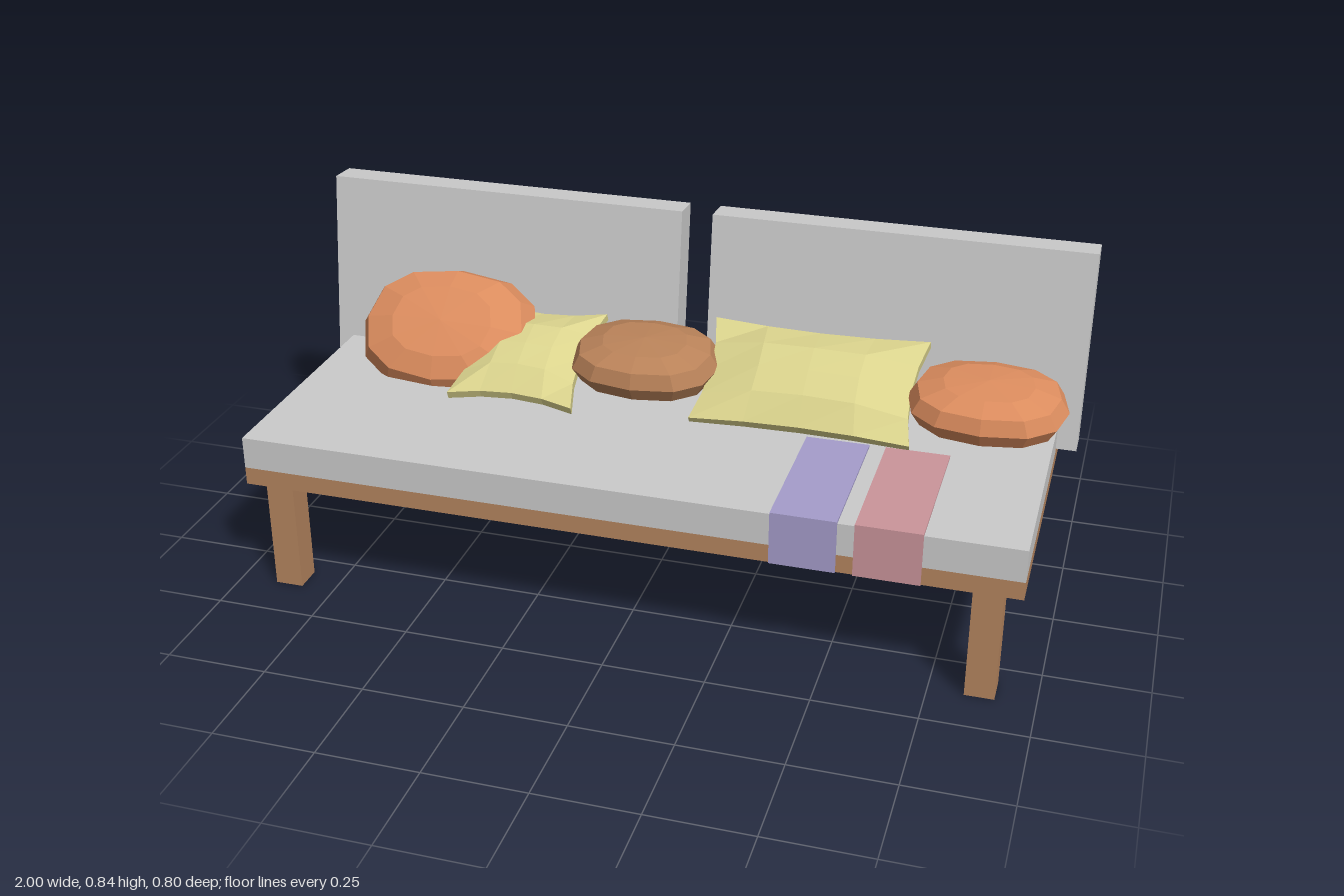
import * as THREE from 'three';

const material = (color) => new THREE.MeshStandardMaterial({ color, flatShading: true });
const grey = material(0xcccccc);
const wood = material(0xb5855f);
const orange = material(0xdb8c5e);
const brown = material(0xb98259);
const yellow = material(0xd9d28c);
const lilac = material(0xa59dcb);
const pink = material(0xcb959b);

export function createModel() {
  const model = new THREE.Group();

  const add = (name, geometry, mat) => {
    const mesh = new THREE.Mesh(geometry, mat);
    mesh.name = name;
    model.add(mesh);
    return mesh;
  };

  // Box given by its minimum and maximum corners
  const box = (name, mat, [x0, y0, z0], [x1, y1, z1]) =>
    add(name, new THREE.BoxGeometry(x1 - x0, y1 - y0, z1 - z0), mat)
      .position.set((x0 + x1) / 2, (y0 + y1) / 2, (z0 + z1) / 2);

  // Side profile of [z, y] points, extruded from x0 to x1
  const sideProfile = (name, mat, points, x0, x1) => {
    const shape = new THREE.Shape(points.map(([z, y]) => new THREE.Vector2(-z, y)));
    const geometry = new THREE.ExtrudeGeometry(shape, { depth: x1 - x0, bevelEnabled: false });
    geometry.rotateY(Math.PI / 2).translate(x0, 0, 0);
    return add(name, geometry, mat);
  };

  // Puffy rounded cushion: a faceted sphere squared off slightly
  const roundCushion = (name, mat, size, position, tilt) => {
    const geometry = new THREE.SphereGeometry(1, 12, 6);
    const p = geometry.attributes.position;
    const square = (v) => Math.sign(v) * Math.abs(v) ** 0.82;
    for (let i = 0; i < p.count; i++) {
      p.setXYZ(i, square(p.getX(i)) * size[0] / 2, square(p.getY(i)) * size[1] / 2,
        square(p.getZ(i)) * size[2] / 2);
    }
    geometry.computeVertexNormals();
    const mesh = add(name, geometry, mat);
    mesh.position.set(...position);
    mesh.rotation.x = tilt;
  };

  // Throw cushion: thick in the middle, thin rim, edges drawn in between the corners
  const squareCushion = (name, mat, size, position, tilt, pinch) => {
    const geometry = new THREE.BoxGeometry(2, 2, 2, 4, 1, 4);
    const p = geometry.attributes.position;
    for (let i = 0; i < p.count; i++) {
      const u = p.getX(i), v = p.getZ(i);
      const puff = 0.22 + 0.78 * Math.sqrt((1 - u * u) * (1 - v * v));
      p.setXYZ(i, u * (1 - pinch * (1 - v * v)) * size[0] / 2, p.getY(i) * puff * size[1] / 2,
        v * (1 - pinch * (1 - u * u)) * size[2] / 2);
    }
    geometry.computeVertexNormals();
    const mesh = add(name, geometry, mat);
    mesh.position.set(...position);
    mesh.rotation.x = tilt;
  };

  // Wooden platform and legs
  box('platform', wood, [-0.95, 0.285, -0.353], [0.95, 0.33, 0.395]);
  for (const x of [-0.87, 0.87]) {
    box('frontLeg', wood, [x - 0.035, 0, 0.31], [x + 0.035, 0.285, 0.38]);
    box('backLeg', wood, [x - 0.035, 0, -0.335], [x + 0.035, 0.285, -0.267]);
  }

  // Seat and the two leaning backrests
  box('seatMattress', grey, [-0.95, 0.33, -0.245], [0.95, 0.411, 0.395]);
  const back = [[-0.254, 0.337], [-0.333, 0.331], [-0.399, 0.833], [-0.318, 0.838]];
  sideProfile('rightBackrest', grey, back, -1, -0.04);
  sideProfile('leftBackrest', grey, back, 0.04, 1);

  // Runners folded over the front edge
  const runner = [[0.01, 0.411], [0.395, 0.411], [0.395, 0.285], [0.4, 0.285], [0.4, 0.417], [0.01, 0.417]];
  sideProfile('lilacRunner', lilac, runner, 0.37, 0.525);
  sideProfile('pinkRunner', pink, runner, 0.565, 0.72);

  // Cushions
  roundCushion('largeRoundCushion', orange, [0.48, 0.16, 0.345], [-0.62, 0.508, -0.14], 0.78);
  roundCushion('middleRoundCushion', brown, [0.385, 0.135, 0.285], [-0.08, 0.503, -0.128], 0.15);
  roundCushion('smallRoundCushion', orange, [0.39, 0.135, 0.285], [0.785, 0.5, -0.127], 0.15);
  squareCushion('smallThrowCushion', yellow, [0.33, 0.1, 0.33], [-0.385, 0.488, -0.097], 0.4, 0.15);
  squareCushion('largeThrowCushion', yellow, [0.55, 0.11, 0.31], [0.345, 0.495, -0.13], 0.54, 0.08);

  return model;
}
